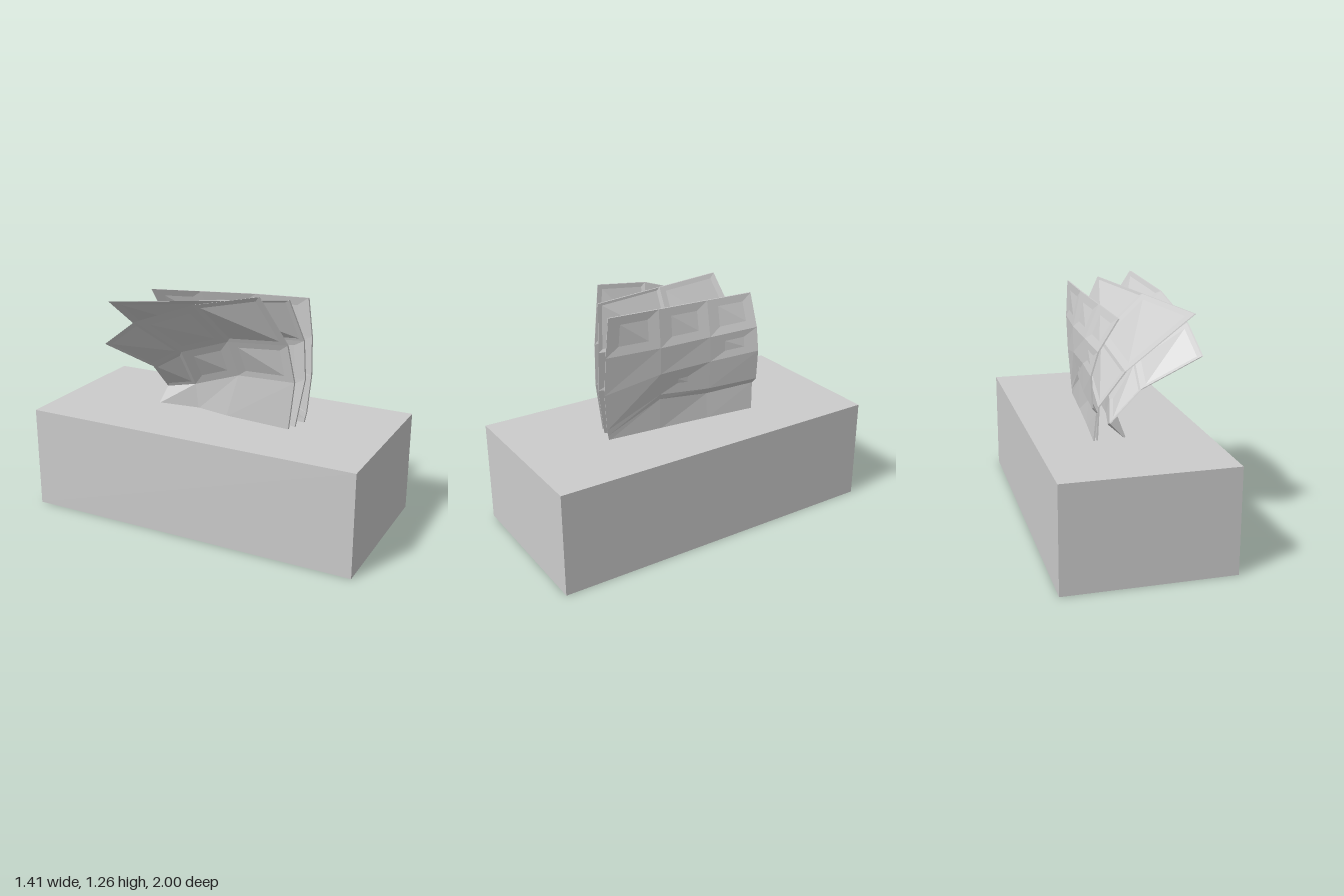
import * as THREE from 'three';

const material = new THREE.MeshStandardMaterial({ color: 0xcccccc });
const paper = new THREE.MeshStandardMaterial({ color: 0xcccccc, flatShading: true, side: THREE.DoubleSide });

// Thin sheet lofted through columns (front to back), each a list of points from bottom to top
function makeSheet(name, columns, thickness = 0.008) {
  const rows = columns[0].length, ring = rows * 2;
  const positions = [], index = [];
  for (const column of columns) {
    for (const [x, y, z] of column) positions.push(x + thickness / 2, y, z);
    for (const [x, y, z] of [...column].reverse()) positions.push(x - thickness / 2, y, z);
  }
  const quad = (a, b, c, d) => index.push(a, b, c, a, c, d);
  // Both faces and the top and bottom rims
  for (let c = 0; c < columns.length - 1; c++) {
    for (let k = 0; k < ring; k++) {
      const next = (k + 1) % ring, a = c * ring, b = a + ring;
      quad(a + k, b + k, b + next, a + next);
    }
  }
  // Front and back rims
  const last = (columns.length - 1) * ring;
  for (let j = 0; j < rows - 1; j++) {
    const p = j, q = j + 1, r = ring - 2 - j, s = ring - 1 - j;
    quad(p, q, r, s);
    quad(last + s, last + r, last + q, last + p);
  }
  const geometry = new THREE.BufferGeometry();
  geometry.setAttribute('position', new THREE.Float32BufferAttribute(positions, 3));
  geometry.setIndex(index);
  const flat = geometry.toNonIndexed();
  flat.computeVertexNormals();
  const mesh = new THREE.Mesh(flat, paper);
  mesh.name = name;
  return mesh;
}

export function createModel() {
  const group = new THREE.Group();
  group.name = 'tissueBox';

  // Carton, turned on the ground
  const box = new THREE.Mesh(new THREE.BoxGeometry(0.867, 0.545, 1.812), material);
  box.name = 'carton';
  box.position.y = 0.2725;
  box.rotation.y = 0.335;
  group.add(box);

  // Sheet that curls over furthest
  group.add(makeSheet('curledSheet', [
    [[0.07, 0.54, 0.41], [0.075, 0.8, 0.44], [0.03, 1.0, 0.43], [-0.125, 1.26, 0.38]],
    [[-0.02, 0.54, 0.05], [0.0, 0.78, 0.12], [-0.09, 0.98, 0.13], [-0.3, 1.2, 0.1]],
    [[-0.045, 0.54, -0.14], [-0.055, 0.68, -0.15], [-0.18, 0.89, -0.12], [-0.44, 1.09, -0.17]],
    [[-0.145, 0.54, -0.35], [-0.07, 0.62, -0.36], [-0.22, 0.78, -0.3], [-0.515, 0.96, -0.32]],
  ]));

  // Middle sheet
  group.add(makeSheet('middleSheet', [
    [[0.12, 0.54, 0.41], [0.155, 0.8, 0.44], [0.15, 1.0, 0.43], [0.055, 1.22, 0.41]],
    [[0.06, 0.54, 0.0], [0.07, 0.77, 0.02], [0.01, 0.97, 0.02], [-0.21, 1.195, 0.04]],
    [[-0.01, 0.54, -0.41], [-0.02, 0.72, -0.42], [-0.15, 0.9, -0.41], [-0.475, 1.17, -0.33]],
  ]));

  // Outer upright sheet, folded outwards above a tucked-in foot
  group.add(makeSheet('outerSheet', [
    [[0.2, 0.54, 0.4], [0.203, 0.57, 0.405], [0.207, 0.6, 0.41], [0.225, 0.8, 0.42], [0.232, 1.0, 0.41], [0.22, 1.2, 0.39]],
    [[0.13, 0.54, 0.12], [0.13, 0.71, 0.12], [0.14, 0.74, 0.12], [0.16, 0.86, 0.12], [0.16, 1.0, 0.12], [0.12, 1.19, 0.12]],
    [[0.065, 0.54, -0.15], [0.05, 0.68, -0.15], [0.08, 0.72, -0.15], [0.08, 0.87, -0.16], [0.07, 1.0, -0.16], [0.0, 1.175, -0.16]],
    [[0.005, 0.54, -0.415], [-0.01, 0.69, -0.42], [0.01, 0.72, -0.435], [0.015, 0.88, -0.44], [-0.02, 1.0, -0.44], [-0.115, 1.16, -0.43]],
  ]));

  return group;
}
